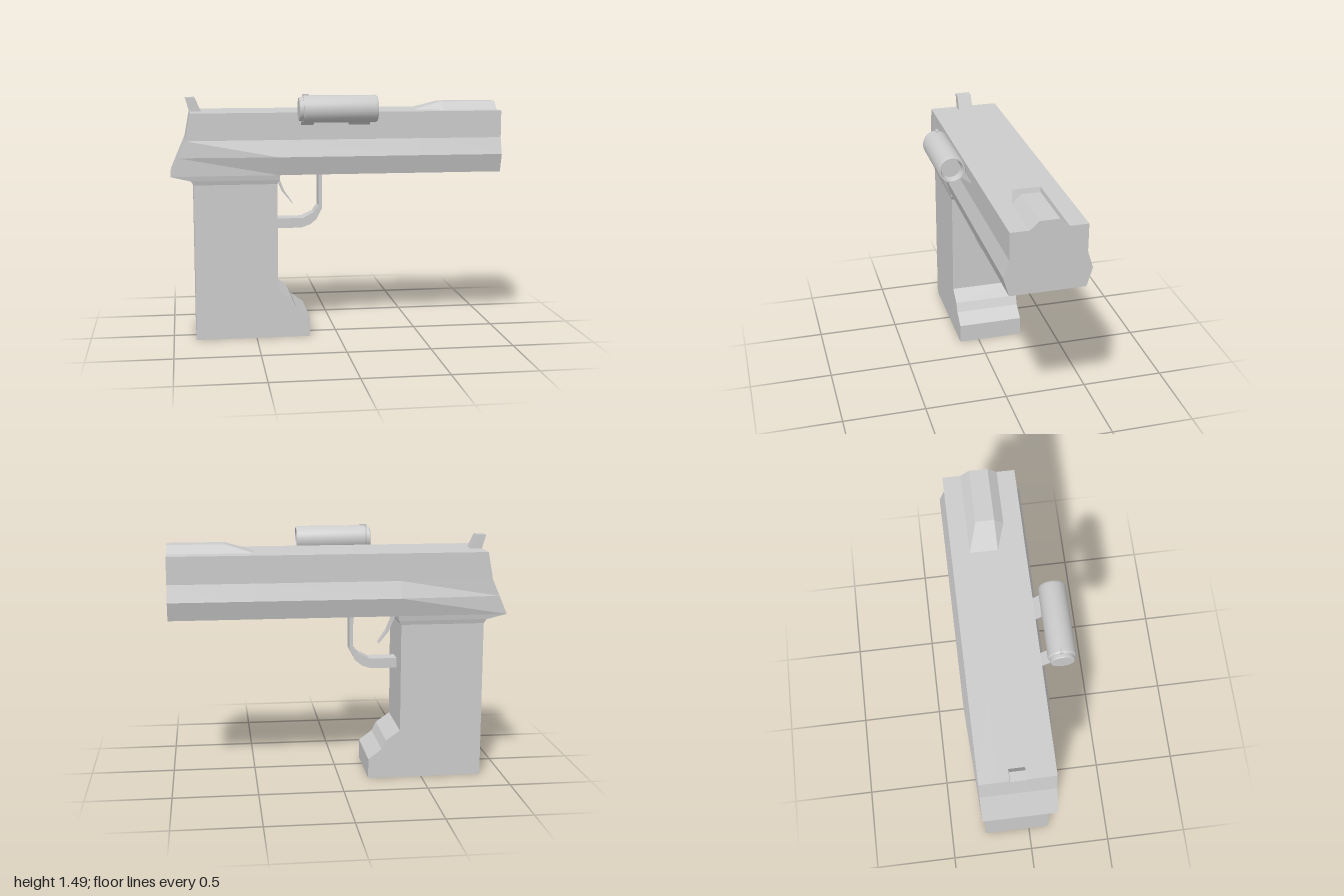
import * as THREE from 'three';
import { toCreasedNormals } from 'three/addons/utils/BufferGeometryUtils.js';

const MID = -0.08; // z of the body's mirror plane
const flat = new THREE.MeshStandardMaterial({ color: 0xcccccc, flatShading: true });
const smooth = new THREE.MeshStandardMaterial({ color: 0xcccccc });

// Closed loft through rings of [x, y, z]; each ring is symmetric, so caps are strips.
function loft(rings) {
  const n = rings[0].length, last = (rings.length - 1) * n, index = [];
  const quad = (a, b, c, d) => index.push(a, b, c, a, c, d);
  for (let r = 0; r < last; r += n) {
    for (let i = 0; i < n; i++) {
      const j = (i + 1) % n;
      quad(r + i, r + j, r + n + j, r + n + i);
    }
  }
  for (let i = 0; i < n / 2 - 1; i++) {
    quad(last + i, last + i + 1, last + n - 2 - i, last + n - 1 - i);
    quad(n - 1 - i, n - 2 - i, i + 1, i);
  }
  const geo = new THREE.BufferGeometry();
  geo.setAttribute('position', new THREE.Float32BufferAttribute(rings.flat(2), 3));
  geo.setIndex(index);
  const out = geo.toNonIndexed();
  out.computeVertexNormals();
  return out;
}

// Side profile in x, y extruded symmetrically about the mirror plane.
function slab(points, width) {
  const shape = new THREE.Shape(points.map(p => new THREE.Vector2(...p)));
  return new THREE.ExtrudeGeometry(shape, { depth: width, bevelEnabled: false })
    .translate(0, 0, MID - width / 2);
}

export function createModel() {
  const group = new THREE.Group();
  const add = (name, geo, mat = flat) => {
    const mesh = new THREE.Mesh(geo, mat);
    mesh.name = name;
    group.add(mesh);
    return mesh;
  };

  // Slide: bulged sides, slanted rear, raised rib towards the muzzle
  const section = (xs, bulge, ribTop) => {
    const half = [[0.215, 1], [bulge, 1.11], [0.215, 1.21], [0.215, 1.372], [0.108, 1.372], [0.055, ribTop]]
      .map(([w, y], i) => [xs[i] ?? xs[0], y, w]);
    return [
      ...half.map(([x, y, w]) => [x, y, MID - w]),
      ...half.slice().reverse().map(([x, y, w]) => [x, y, MID + w]),
    ];
  };
  add('slide', loft([
    section([-1, -0.953, -0.91, -0.88, -0.88, -0.88], 0.216, 1.372),
    section([-0.36], 0.247, 1.372),
    section([0.49], 0.247, 1.372),
    section([0.66], 0.247, 1.42),
    section([1], 0.247, 1.42),
  ]));

  // Collar tapering from the slide into the grip
  add('collar', loft([
    [-1, -0.35, 1, 0.215],
    [-0.88, -0.352, 0.97, 0.21],
    [-0.865, -0.367, 0.945, 0.203],
  ].map(([x0, x1, y, w]) => [
    [x0, y, MID - w], [x1, y, MID - w], [x1, y, MID + w], [x0, y, MID + w],
  ])));

  // Grip with a stepped toe
  add('grip', slab([
    [-0.865, 0], [-0.175, 0], [-0.175, 0.12], [-0.255, 0.18], [-0.282, 0.235],
    [-0.367, 0.295], [-0.367, 0.95], [-0.865, 0.95],
  ], 0.406));

  // Trigger guard and trigger
  add('triggerGuard', slab([
    [-0.37, 0.65], [-0.21, 0.65], [-0.155, 0.668], [-0.115, 0.7], [-0.078, 0.77], [-0.078, 1.01],
    [-0.1, 1.01], [-0.1, 0.785], [-0.13, 0.745], [-0.2, 0.71], [-0.37, 0.71],
  ], 0.104));
  add('trigger', slab([
    [-0.365, 1], [-0.358, 0.96], [-0.32, 0.87], [-0.26, 0.797],
    [-0.257, 0.8], [-0.31, 0.88], [-0.345, 0.965], [-0.345, 1],
  ], 0.05));

  // Rear sight
  add('rearSight', slab([[-0.88, 1.37], [-0.81, 1.37], [-0.85, 1.455], [-0.905, 1.455]], 0.09));

  // Side tube with rear cap and recessed front lens
  const profile = [
    [0, -0.25], [0.066, -0.25], [0.07, -0.245], [0.07, -0.225], [0.075, -0.225], [0.08, -0.215],
    [0.08, 0.2], [0.075, 0.212], [0.066, 0.212], [0.056, 0.17], [0, 0.17],
  ].map(p => new THREE.Vector2(...p));
  const tube = toCreasedNormals(new THREE.LatheGeometry(profile, 32), 0.4).rotateZ(-Math.PI / 2);
  add('sideTube', tube, smooth).position.set(0, 1.4, 0.25);
  add('tubeButton', new THREE.BoxGeometry(0.04, 0.02, 0.014)).position.set(-0.21, 1.477, 0.245);

  // Thin slanted brackets holding the tube
  for (const [x, length] of [[-0.187, 0.076], [0.125, 0.13]]) {
    const bracket = add('tubeBracket', new THREE.BoxGeometry(length, 0.008, 0.085));
    bracket.position.set(x, 1.324, 0.162);
    bracket.rotation.x = -0.68;
  }
  return group;
}
